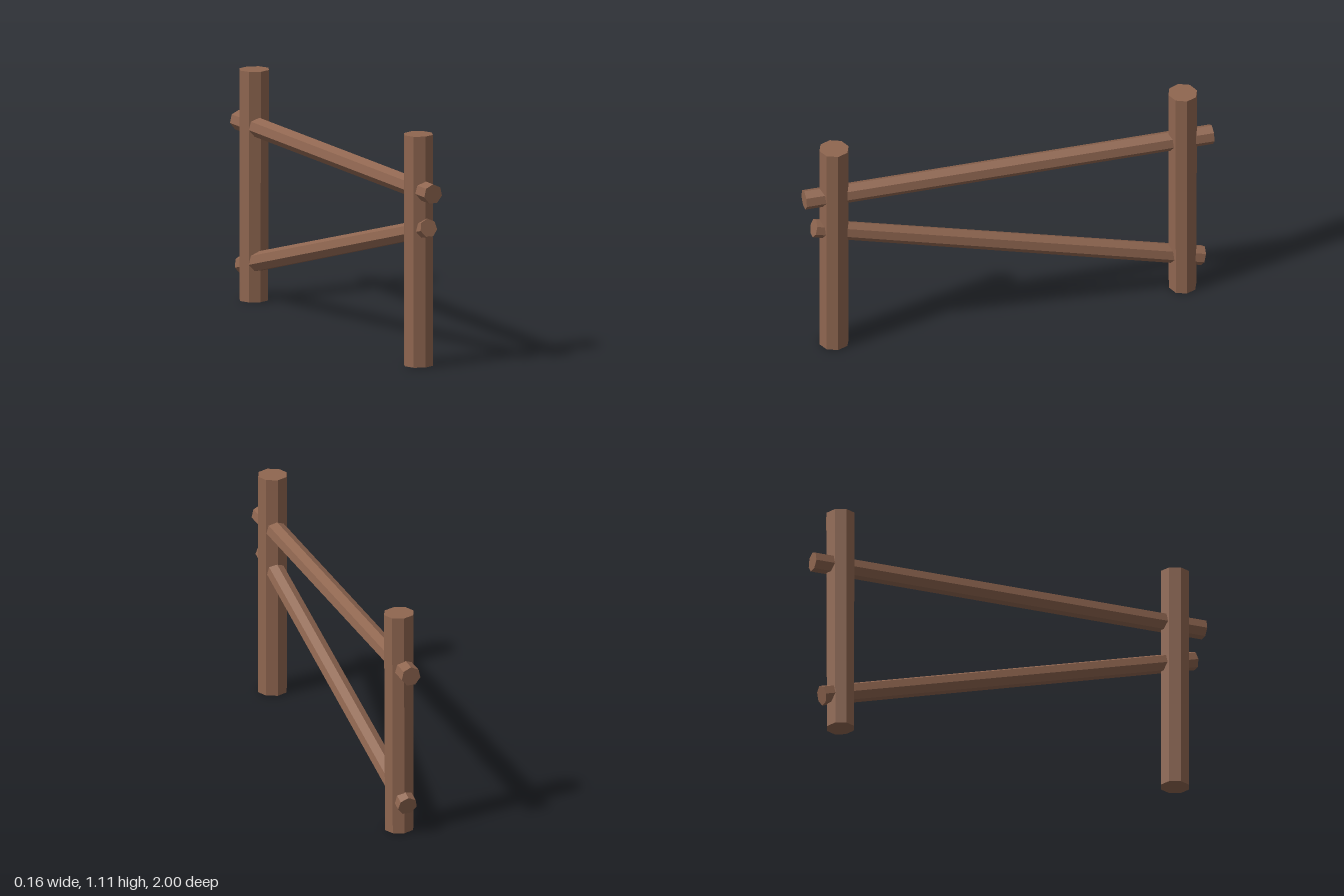
import * as THREE from 'three';

const wood = new THREE.MeshStandardMaterial({ color: 0x8f6650, flatShading: true });

// A faceted log running from one point to another
function log(name, from, to, r0, r1, sides, thetaStart = 0) {
  const a = new THREE.Vector3(...from), b = new THREE.Vector3(...to);
  const dir = b.clone().sub(a);
  const geo = new THREE.CylinderGeometry(r1, r0, dir.length(), sides, 1, false, thetaStart, Math.PI * 2);
  const mesh = new THREE.Mesh(geo, wood);
  mesh.name = name;
  mesh.position.copy(a).add(b).multiplyScalar(0.5);
  mesh.quaternion.setFromUnitVectors(new THREE.Vector3(0, 1, 0), dir.normalize());
  return mesh;
}

export function createModel() {
  const fence = new THREE.Group();
  fence.name = 'fence';

  // Upright eight-sided posts
  const frontPost = log('frontPost', [-0.008, 0.005, 0.853], [-0.008, 1.117, 0.853], 0.072, 0.072, 8);
  const backPost = log('backPost', [0.0, 0.005, -0.855], [0.002, 1.115, -0.855], 0.072, 0.075, 8);
  backPost.scale.z = 0.94;

  // Seven-sided rails passing through both posts, one level and one slanted
  const topRail = log('topRail', [-0.005, 0.845, -1], [-0.005, 0.853, 1], 0.048, 0.048, 7, Math.PI);
  const slantedRail = log('slantedRail', [-0.005, 0.157, -0.953], [-0.005, 0.682, 0.953], 0.048, 0.045, 7, Math.PI);

  fence.add(frontPost, backPost, topRail, slantedRail);
  return fence;
}
